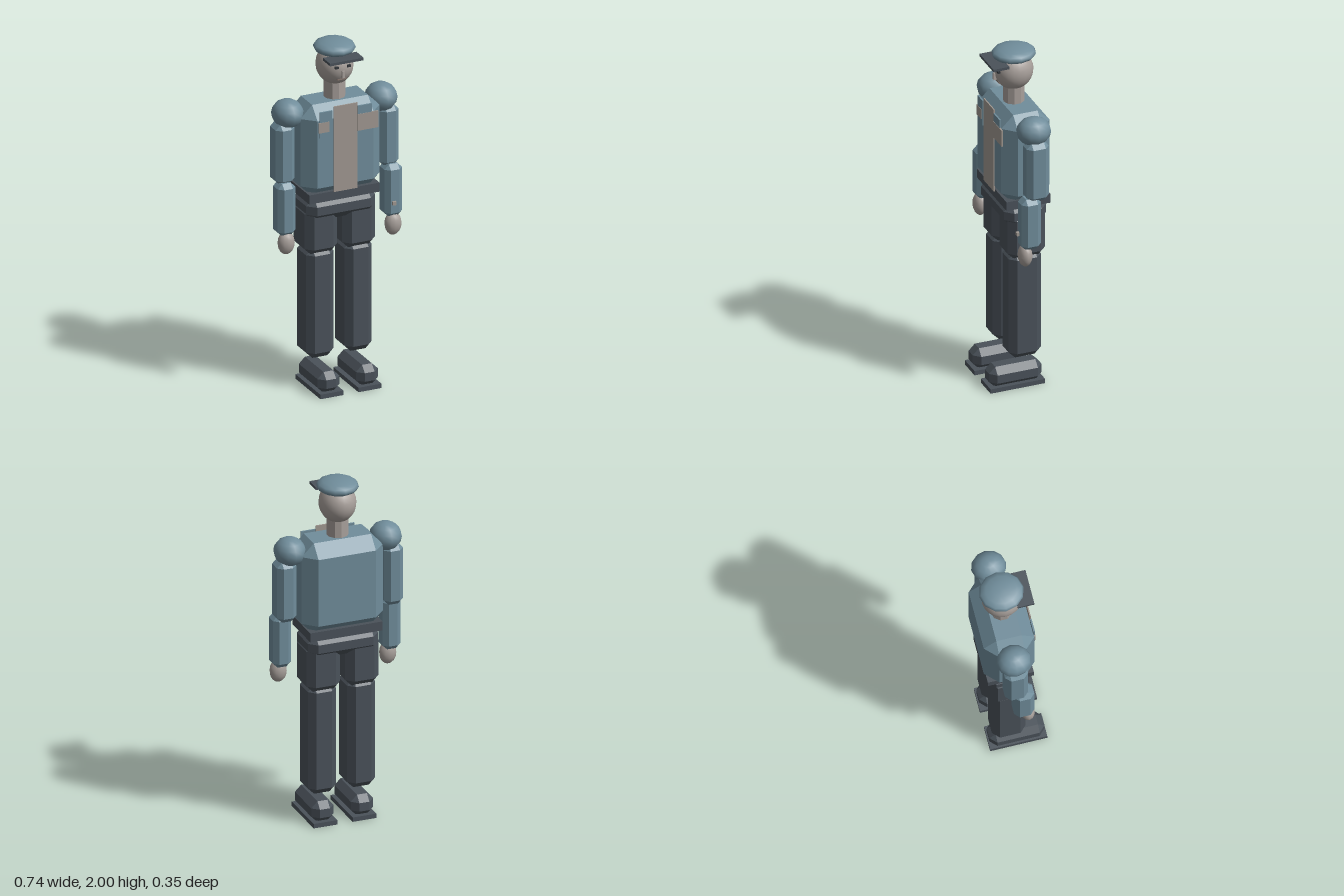
import * as THREE from 'three';
import { ConvexGeometry } from 'three/addons/geometries/ConvexGeometry.js';

const paint = (name, color, flatShading = false) => {
  const m = new THREE.MeshStandardMaterial({ color, flatShading });
  m.name = name;
  return m;
};

export function createModel() {
  const model = new THREE.Group();
  model.name = 'uniformedFigure';

  const blue = paint('jacketBlue', 0x708d9b);
  const dark = paint('trouserGrey', 0x4a525a);
  const skin = paint('skin', 0xa8a09b);
  const shirt = paint('shirtBeige', 0xa09891);
  const ink = paint('eyeDark', 0x33383d);
  const lip = paint('lipBrown', 0x8a7a72);

  const add = (name, geometry, material, x, y, z, parent = model) => {
    const mesh = new THREE.Mesh(geometry, material);
    mesh.name = name;
    mesh.position.set(x, y, z);
    parent.add(mesh);
    return mesh;
  };

  // Box given by its ranges in x, y and z
  const box = (name, material, [x0, x1], [y0, y1], [z0, z1], parent) =>
    add(name, new THREE.BoxGeometry(x1 - x0, y1 - y0, z1 - z0), material,
      (x0 + x1) / 2, (y0 + y1) / 2, (z0 + z1) / 2, parent);

  // Box with every edge cut at 45 degrees
  const chamferBox = (name, material, [x0, x1], [y0, y1], [z0, z1], c, parent) => {
    const h = [(x1 - x0) / 2, (y1 - y0) / 2, (z1 - z0) / 2];
    const points = [];
    for (const sx of [-1, 1]) for (const sy of [-1, 1]) for (const sz of [-1, 1])
      for (let axis = 0; axis < 3; axis++) {
        const p = h.map((v, i) => (i === axis ? v : v - c));
        points.push(new THREE.Vector3(sx * p[0], sy * p[1], sz * p[2]));
      }
    return add(name, new ConvexGeometry(points), material,
      (x0 + x1) / 2, (y0 + y1) / 2, (z0 + z1) / 2, parent);
  };

  const ball = (name, material, x, y, z, rx, ry, rz, segments = 12, rows = 8, parent) => {
    const mesh = add(name, new THREE.SphereGeometry(1, segments, rows), material, x, y, z, parent);
    mesh.scale.set(rx, ry, rz);
    return mesh;
  };

  // Torso, belt and hips
  chamferBox('torso', blue, [-0.237, 0.237], [1.135, 1.67], [-0.177, 0.105], 0.07);
  box('belt', dark, [-0.21, 0.21], [1.115, 1.168], [-0.165, 0.091]);
  chamferBox('hips', dark, [-0.205, 0.205], [0.99, 1.13], [-0.16, 0.087], 0.045);

  // Shirt front, pockets and badges
  box('shirtFront', shirt, [-0.072, 0.07], [1.17, 1.67], [0.102, 0.109]);
  box('rightPocket', blue, [-0.155, -0.08], [1.5, 1.65], [0.102, 0.111]);
  box('leftPocket', blue, [0.072, 0.155], [1.5, 1.65], [0.102, 0.111]);
  box('rightBadge', shirt, [-0.163, -0.1], [1.53, 1.59], [0.105, 0.113]);
  box('leftBadge', shirt, [0.07, 0.193], [1.505, 1.602], [0.105, 0.113]);

  // Neck and head
  add('neck', new THREE.CylinderGeometry(0.06, 0.06, 0.16, 10).toNonIndexed(),
    paint('neckSkin', 0xa8a09b, true), 0, 1.72, -0.037);
  ball('head', skin, 0, 1.858, -0.035, 0.102, 0.112, 0.11, 20, 14);
  for (const s of [-1, 1])
    box('eye', ink, [s * 0.036 - 0.01, s * 0.036 + 0.01], [1.87, 1.883], [0.06, 0.074]);
  box('nose', skin, [-0.008, 0.008], [1.815, 1.855], [0.06, 0.083]);
  box('mouth', lip, [-0.028, 0.028], [1.797, 1.805], [0.05, 0.06]);

  // Cap and visor
  ball('cap', blue, 0, 1.958, -0.037, 0.115, 0.042, 0.123);
  box('visor', dark, [-0.1, 0.1], [1.917, 1.932], [0.03, 0.122]);

  // Arms and legs on both sides
  for (const s of [-1, 1]) {
    const span = (a, b) => (s > 0 ? [a, b] : [-b, -a]);

    const arm = new THREE.Group();
    arm.name = s > 0 ? 'leftArm' : 'rightArm';
    model.add(arm);
    ball('shoulder', blue, s * 0.279, 1.615, -0.038, 0.088, 0.08, 0.097, 12, 8, arm);
    chamferBox('upperArm', blue, span(0.255, 0.367), [1.215, 1.57], [-0.102, 0.027], 0.029, arm);
    chamferBox('forearm', blue, span(0.266, 0.371), [0.93, 1.237], [-0.053, 0.06], 0.027, arm);
    ball('hand', skin, s * 0.319, 0.888, 0.029, 0.049, 0.066, 0.039, 12, 8, arm);

    const leg = new THREE.Group();
    leg.name = s > 0 ? 'leftLeg' : 'rightLeg';
    model.add(leg);
    chamferBox('thigh', dark, span(0.015, 0.21), [0.79, 1.075], [-0.149, 0.07], 0.04, leg);
    chamferBox('lowerLeg', dark, span(0.032, 0.196), [0.18, 0.825], [-0.13, 0.058], 0.037, leg);
    chamferBox('shoe', dark, span(0.05, 0.18), [0.015, 0.137], [-0.14, 0.167], 0.036, leg);
    box('sole', dark, span(0.045, 0.182), [0, 0.026], [-0.145, 0.173], leg);
  }

  // Cuff button on the left forearm
  box('cuffButton', shirt, [0.298, 0.318], [1.01, 1.03], [0.055, 0.075]);

  return model;
}
